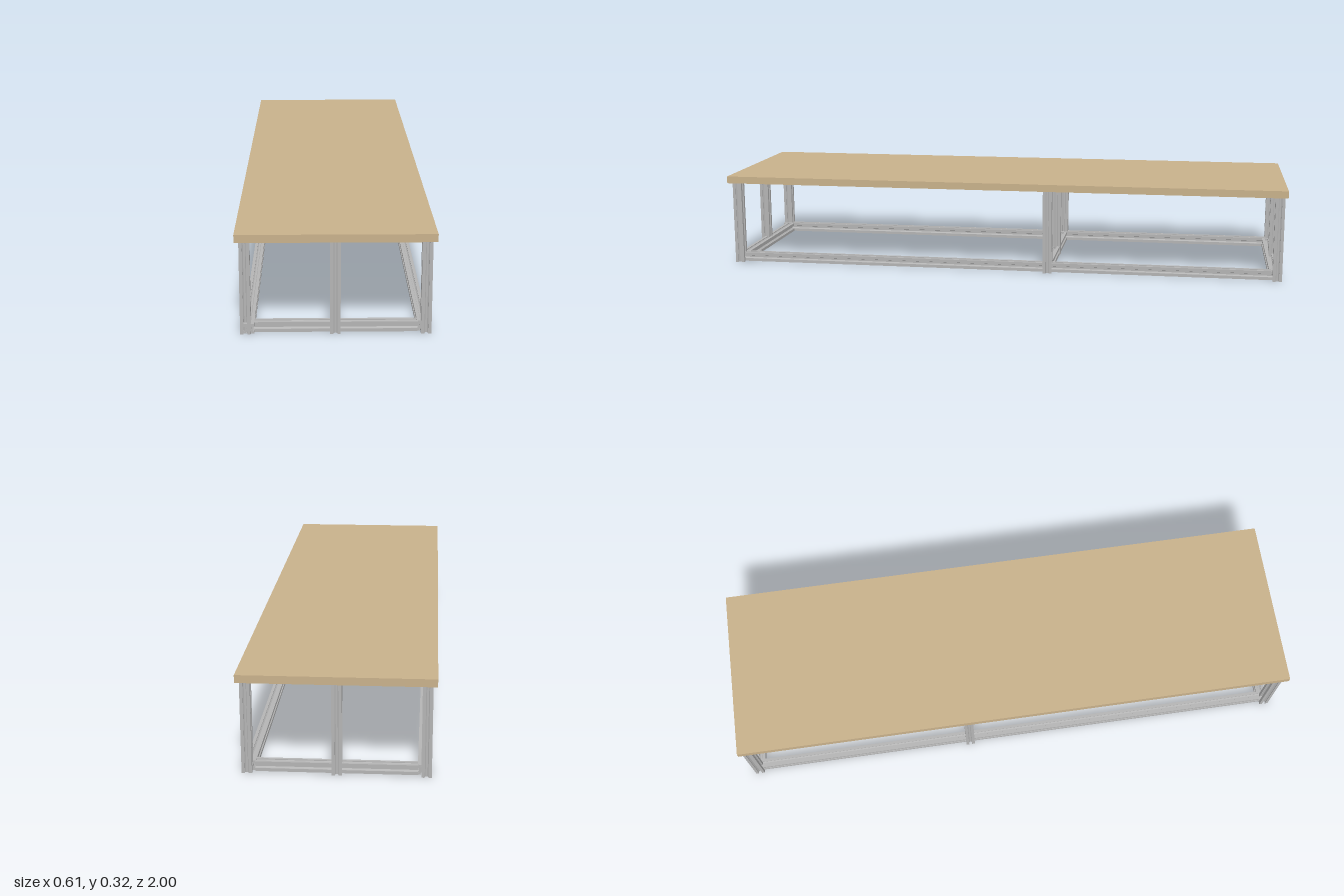
import * as THREE from 'three';

const H = 0.016; // half width of the slotted profile

// Square slotted cross-section: one side's points, turned four times
function slottedShape() {
  const side = [
    [-H, H], [-0.0058, H], [-0.0058, 0.0132], [-0.009, 0.0132], [-0.009, 0.0125],
    [-0.003, 0.0065], [0.003, 0.0065], [0.009, 0.0125], [0.009, 0.0132],
    [0.0058, 0.0132], [0.0058, H],
  ];
  const pts = [];
  for (let i = 0; i < 4; i++) {
    for (const [x, y] of side) {
      pts.push(new THREE.Vector2(x, y).rotateAround(new THREE.Vector2(), -i * Math.PI / 2));
    }
  }
  return new THREE.Shape(pts);
}

export function createModel() {
  const model = new THREE.Group();
  const wood = new THREE.MeshStandardMaterial({ color: 0xc8b18b });
  wood.name = 'wood';
  const aluminium = new THREE.MeshStandardMaterial({ color: 0xb4b4b4 });
  aluminium.name = 'aluminium';
  const shape = slottedShape();

  // Slotted bar of a given length, centred at a point and lying along one axis
  function bar(name, axis, length, x, y, z) {
    const geo = new THREE.ExtrudeGeometry(shape, { depth: length, bevelEnabled: false });
    geo.translate(0, 0, -length / 2);
    if (axis === 'x') geo.rotateY(Math.PI / 2);
    if (axis === 'y') geo.rotateX(-Math.PI / 2);
    const mesh = new THREE.Mesh(geo, aluminium);
    mesh.name = name;
    mesh.position.set(x, y, z);
    model.add(mesh);
  }

  // Table top
  const top = new THREE.Mesh(new THREE.BoxGeometry(0.608, 0.025, 2), wood);
  top.name = 'tableTop';
  top.position.y = 0.3095;
  model.add(top);

  // Three rows of three posts
  const rows = [0.969, -0.172, -0.975];
  for (const z of rows) {
    for (const x of [-0.275, -0.0015, 0.275]) bar('post', 'y', 0.297, x, 0.1485, z);
  }

  // Cross rails, set slightly inside the end posts
  const railY = 0.019;
  for (const z of [0.958, -0.17, -0.964]) bar('crossRail', 'x', 0.5, 0, railY, z);

  // Long side rails
  bar('sideRailRight', 'z', 1.96, -0.264, railY, 0.006);
  bar('sideRailLeft', 'z', 1.94, 0.264, railY, -0.003);

  return model;
}
